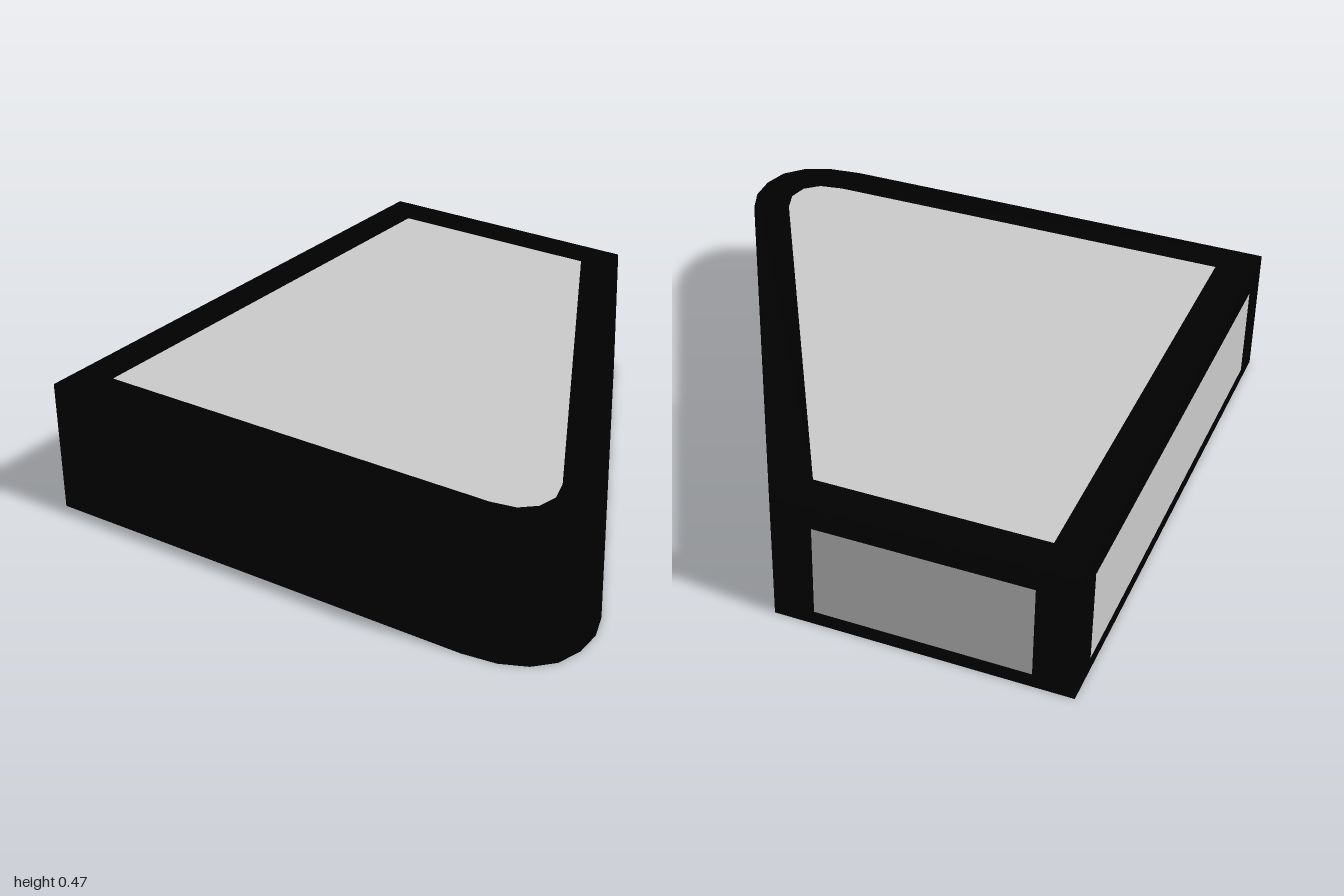
import * as THREE from 'three';
import { toCreasedNormals } from 'three/addons/utils/BufferGeometryUtils.js';

const HEIGHT = 0.465;

// Plain walls in plan (x, z): along the front, round the corner, up the slanted side
const WALL_PATH = [
  [-0.96, 1], [0.66, 1], [0.78, 0.985], [0.87, 0.945], [0.93, 0.88],
  [0.955, 0.79], [0.95, 0.69], [0.915, 0.595], [0.055, -1],
];
const OUTLINE = [...WALL_PATH, [-0.96, -1]];

// Top panel in plan (x, z)
const PANEL = [
  [-0.825, 0.86], [0.67, 0.86], [0.755, 0.845], [0.805, 0.8],
  [0.82, 0.73], [0.795, 0.65], [-0.03, -0.865], [-0.825, -0.865],
];

const black = new THREE.MeshStandardMaterial({ color: 0x000000, side: THREE.DoubleSide });
const grey = new THREE.MeshStandardMaterial({ color: 0xcccccc, side: THREE.DoubleSide });

function addMesh(parent, name, geometry, material) {
  const mesh = new THREE.Mesh(geometry, material);
  mesh.name = name;
  parent.add(mesh);
  return mesh;
}

const planPoints = (points) => points.map(([x, z]) => new THREE.Vector2(x, -z));

const rectangle = (x0, y0, x1, y1) =>
  [[x0, y0], [x1, y0], [x1, y1], [x0, y1]].map(([x, y]) => new THREE.Vector2(x, y));

// A frame and the pane that fills its opening
function framedPanel(name, outer, inner) {
  const group = new THREE.Group();
  group.name = name;
  const frame = new THREE.Shape(outer);
  frame.holes.push(new THREE.Path(inner));
  addMesh(group, name + 'Frame', new THREE.ShapeGeometry(frame), black);
  addMesh(group, name + 'Pane', new THREE.ShapeGeometry(new THREE.Shape(inner)), grey);
  return group;
}

function framedWall(name, width) {
  const half = width / 2;
  return framedPanel(
    name,
    rectangle(-half, 0, half, HEIGHT),
    rectangle(-half + 0.14, 0.05, half - 0.14, HEIGHT - 0.08),
  );
}

// Thin upright strip that follows a path in plan
function wallStrip(path) {
  const geometry = new THREE.PlaneGeometry(1, 1, path.length - 1, 1);
  const position = geometry.attributes.position;
  for (let i = 0; i < position.count; i++) {
    const [x, z] = path[i % path.length];
    position.setXYZ(i, x, i < path.length ? HEIGHT : 0, z);
  }
  return toCreasedNormals(geometry, Math.PI / 6);
}

export function createModel() {
  const model = new THREE.Group();
  model.name = 'taperedTray';

  // Top panel, the underside is open
  const top = framedPanel('top', planPoints(OUTLINE), planPoints(PANEL));
  top.rotation.x = -Math.PI / 2;
  top.position.y = HEIGHT;
  model.add(top);

  // Plain front, rounded corner and slanted side
  addMesh(model, 'plainWalls', wallStrip(WALL_PATH), black);

  // Framed back wall
  const back = framedWall('backWall', 1.015);
  back.rotation.y = Math.PI;
  back.position.set(-0.4525, 0, -1);
  model.add(back);

  // Framed straight side wall
  const side = framedWall('sideWall', 2);
  side.rotation.y = -Math.PI / 2;
  side.position.x = -0.96;
  model.add(side);

  return model;
}
